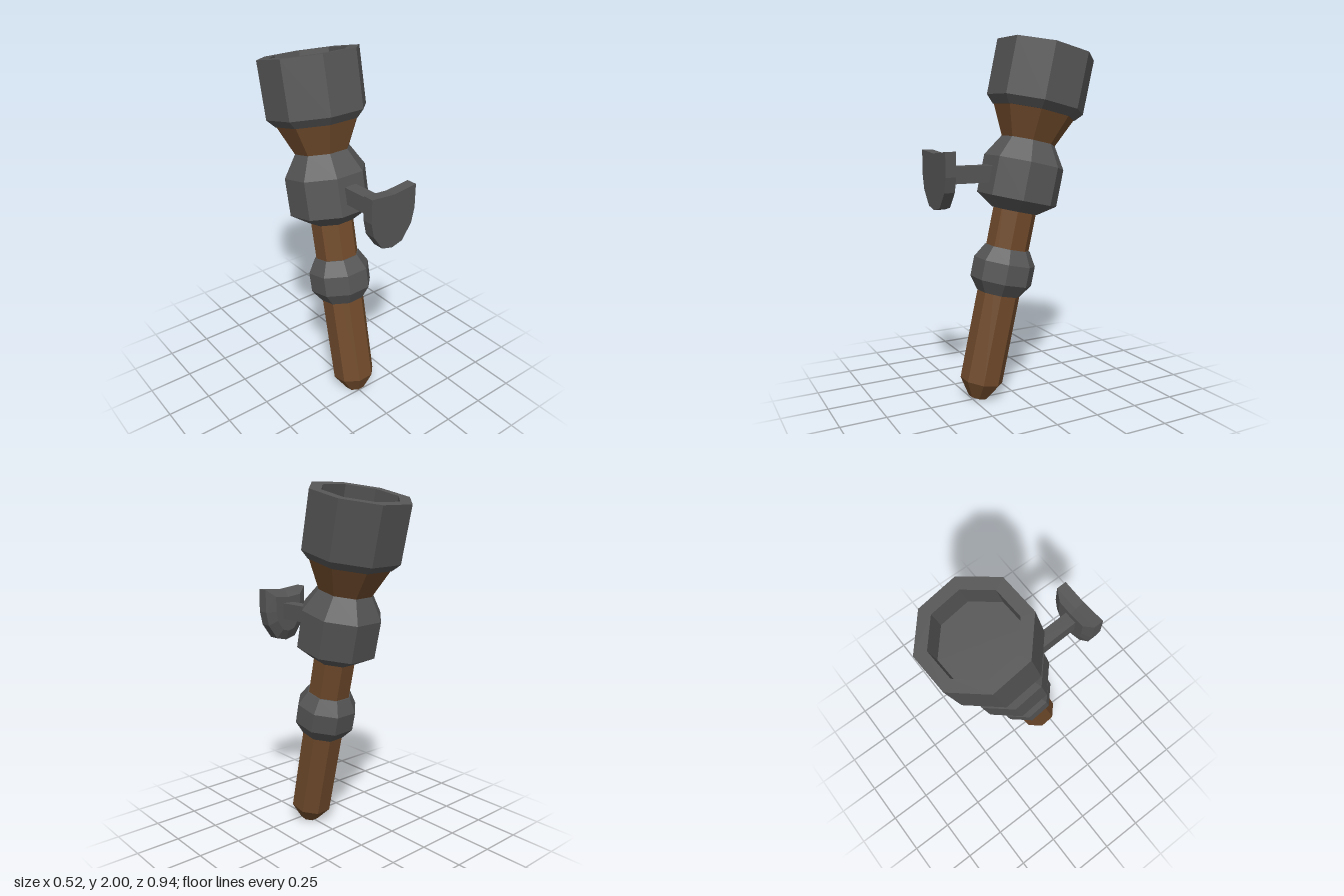
import * as THREE from 'three';

const rad = THREE.MathUtils.degToRad;
const makeMaterial = (color) =>
  new THREE.MeshStandardMaterial({ color, flatShading: true });

export function createModel() {
  const wood = makeMaterial(0x6f4a2b);
  const metal = makeMaterial(0x555555);
  const model = new THREE.Group();
  model.name = 'wallTorch';

  // Tilted shaft: every part is an eight-sided profile [radius, height] on one axis
  const torch = new THREE.Group();
  torch.name = 'torch';
  torch.position.set(0, 0.011, 0.215);
  torch.rotation.x = rad(-12.6);
  model.add(torch);

  const turned = (name, material, profile) => {
    const points = profile.map(([r, h]) => new THREE.Vector2(r, h));
    const geometry = new THREE.LatheGeometry(points, 8, rad(22.5 + 2.3));
    const mesh = new THREE.Mesh(geometry, material);
    mesh.name = name;
    torch.add(mesh);
  };

  turned('handle', wood, [[0, 0], [0.055, 0], [0.12, 0.095], [0.122, 1.12], [0, 1.12]]);
  turned('collar', metal, [[0, 0.6], [0.124, 0.6], [0.175, 0.67], [0.175, 0.78], [0.128, 0.86], [0, 0.86]]);
  turned('knob', metal, [[0, 1.07], [0.13, 1.07], [0.228, 1.135], [0.228, 1.345], [0.15, 1.47], [0, 1.47]]);
  turned('flaredNeck', wood, [[0, 1.46], [0.15, 1.46], [0.235, 1.64], [0, 1.64]]);
  turned('cup', metal, [[0, 1.627], [0.235, 1.627], [0.276, 1.67], [0.277, 1.977],
    [0.212, 1.977], [0.212, 1.82], [0, 1.82]]);

  // Level wall bracket
  const bracket = new THREE.Group();
  bracket.name = 'bracket';
  bracket.position.set(0.003, 1.27, 0.2);
  bracket.rotation.y = rad(2.2);
  model.add(bracket);

  const arm = new THREE.Mesh(new THREE.BoxGeometry(0.076, 0.092, 0.33), metal);
  arm.name = 'bracketArm';
  arm.position.z = 0.04;
  bracket.add(arm);

  // Shield-shaped plate with a dipped top edge
  const half = [[0.146, 0.13], [0.146, 0], [0.128, -0.08], [0.068, -0.163]];
  const outline = [[0, 0.116], ...half.map(([x, y]) => [-x, y]), [0, -0.18],
    ...half.slice().reverse()];
  const shield = new THREE.Shape(outline.map(([x, y]) => new THREE.Vector2(x, y)));
  const plateGeometry = new THREE.ExtrudeGeometry(shield, {
    depth: 0.085, steps: 2, bevelEnabled: false,
  });
  // Shrink the rear layer and pull the middle one back to form a chamfer
  const position = plateGeometry.attributes.position;
  for (let i = 0; i < position.count; i++) {
    const z = position.getZ(i);
    if (z < 0.01) {
      position.setXY(i, position.getX(i) * 0.62, position.getY(i) * 0.68);
    } else if (z < 0.06) {
      position.setZ(i, 0.026);
    }
  }
  plateGeometry.computeVertexNormals();
  const plate = new THREE.Mesh(plateGeometry, metal);
  plate.name = 'wallPlate';
  plate.position.z = 0.182;
  bracket.add(plate);

  return model;
}
